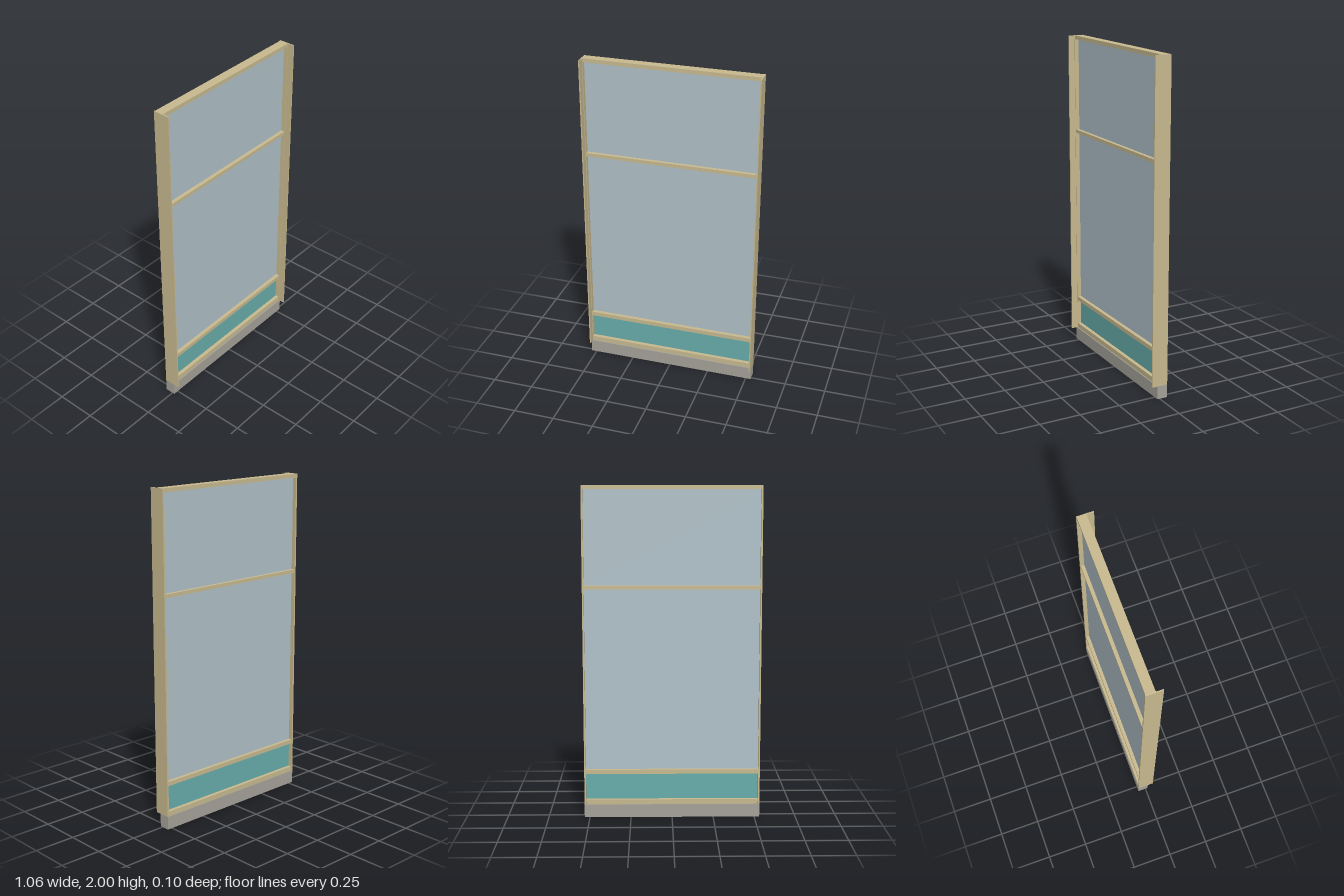
import * as THREE from 'three';

const material = (name, color) => {
  const m = new THREE.MeshStandardMaterial({ color });
  m.name = name;
  return m;
};

export function createModel() {
  const frame = material('tan frame', 0xc8ba8f);
  const glass = material('pale blue glass', 0xb0c1c9);
  const panel = material('teal panel', 0x68adab);
  const stone = material('grey sill', 0xa5a299);

  const model = new THREE.Group();
  model.name = 'windowUnit';

  // Box given by its limits on each axis
  const block = (name, mat, [x0, x1], [y0, y1], [z0, z1]) => {
    const mesh = new THREE.Mesh(new THREE.BoxGeometry(x1 - x0, y1 - y0, z1 - z0), mat);
    mesh.position.set((x0 + x1) / 2, (y0 + y1) / 2, (z0 + z1) / 2);
    mesh.name = name;
    model.add(mesh);
  };

  const half = 0.532, inner = 0.522, base = 0.08;

  // Grey sill under the frame
  block('sill', stone, [-half, half], [0, base], [-0.05, 0.015]);

  // L-shaped side posts: a jamb with a thin fin reaching forward
  for (const [side, s] of [['left', 1], ['right', -1]]) {
    const span = (a, b) => (s > 0 ? [a, b] : [-b, -a]);
    block(side + 'Jamb', frame, span(inner, half), [base, 2], [-0.05, 0.011]);
    block(side + 'Fin', frame, span(half - 0.007, half), [base, 2], [0.011, 0.05]);
  }

  // Horizontal rails
  const rails = [
    ['bottomRail', base, 0.11],
    ['lowerRail', 0.27, 0.296],
    ['middleRail', 1.391, 1.412],
    ['topRail', 1.977, 2],
  ];
  for (const [name, y0, y1] of rails) {
    block(name, frame, [-inner, inner], [y0, y1], [-0.047, 0.008]);
  }

  // Infill set midway in the depth of the frame
  const infill = [
    ['spandrelPanel', panel],
    ['mainPane', glass],
    ['upperPane', glass],
  ];
  infill.forEach(([name, mat], i) => {
    block(name, mat, [-inner, inner], [rails[i][2], rails[i + 1][1]], [-0.025, -0.015]);
  });

  return model;
}
